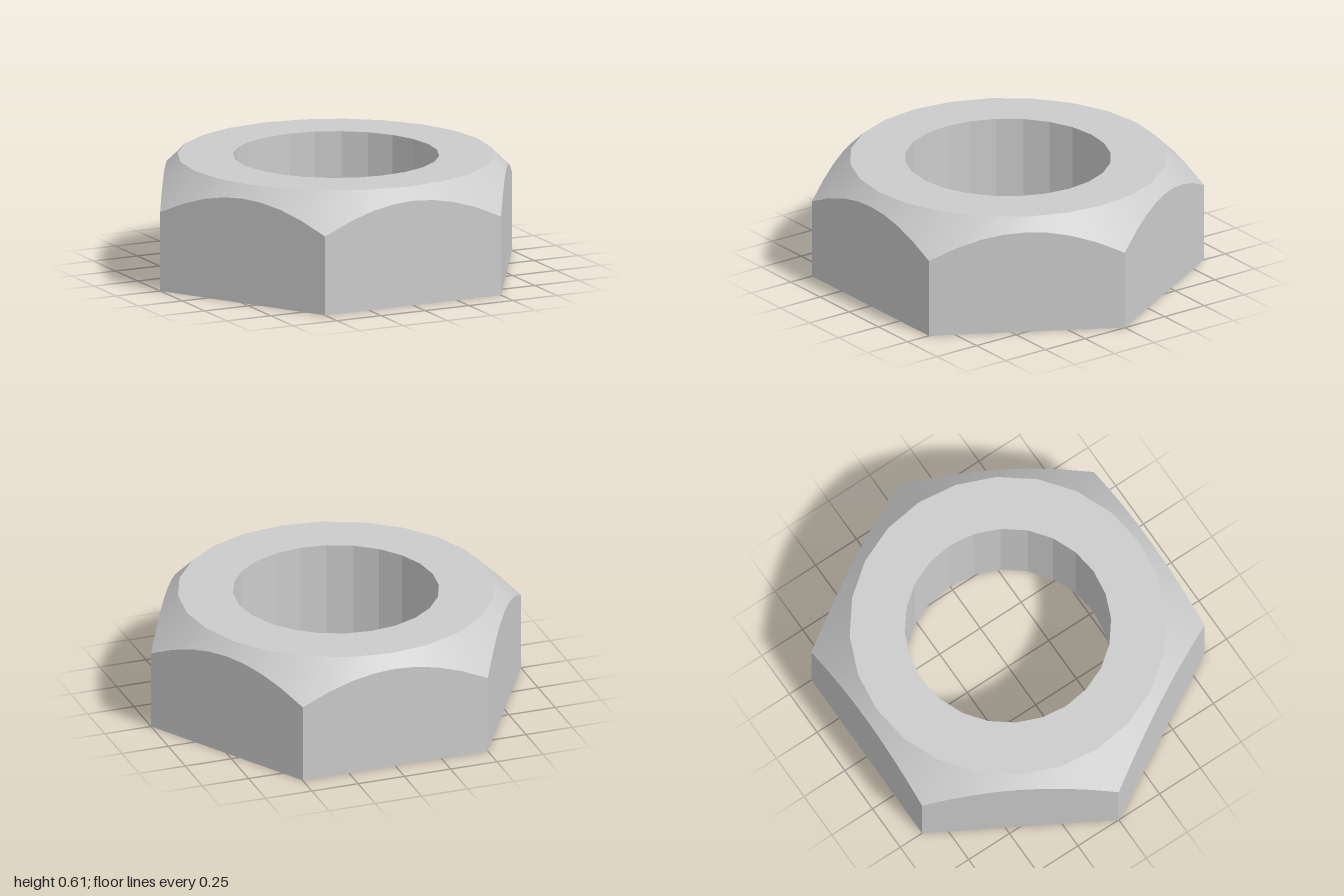
import * as THREE from 'three';

const STEPS = 48; // samples around every ring
const TOP = 0.605, TOP_RADIUS = 0.805, HOLE_RADIUS = 0.524;

// Radius of a regular polygon (corner on +x) at a given angle
function polygonRadius(sides, radius, angle) {
  const half = Math.PI / sides;
  const offset = (angle % (2 * half)) - half;
  return radius * Math.cos(half) / Math.cos(offset);
}

// Closed ring of points; height is a number or a function of radius
function ring(sides, radius, height) {
  return Array.from({ length: STEPS }, (_, i) => {
    const a = i / STEPS * Math.PI * 2;
    const r = polygonRadius(sides, radius, a);
    const y = typeof height === 'function' ? height(r) : height;
    return new THREE.Vector3(r * Math.cos(a), y, -r * Math.sin(a));
  });
}

// Band of quads between two rings, facing outward when b is above a
function band(name, a, b, flatShading) {
  const index = [];
  for (let i = 0; i < STEPS; i++) {
    const j = (i + 1) % STEPS;
    index.push(i, j, STEPS + j, i, STEPS + j, STEPS + i);
  }
  const geometry = new THREE.BufferGeometry().setFromPoints([...a, ...b]);
  geometry.setIndex(index);
  const result = flatShading ? geometry.toNonIndexed() : geometry;
  result.computeVertexNormals();
  const mesh = new THREE.Mesh(result, new THREE.MeshStandardMaterial({ color: 0xcccccc, flatShading }));
  mesh.name = name;
  return mesh;
}

export function createModel() {
  const group = new THREE.Group();
  group.name = 'hexNut';

  // 45 degree cone that cuts curved arcs into the hexagon's sides
  const cone = r => TOP - (r - TOP_RADIUS);

  const hexBottom = ring(6, 1, 0);
  const hexTop = ring(6, 1, cone);
  const rim = ring(24, TOP_RADIUS, TOP);
  const holeTop = ring(24, HOLE_RADIUS, TOP);
  const holeBottom = ring(24, HOLE_RADIUS, 0);

  group.add(
    band('hexSides', hexBottom, hexTop, true),
    band('chamfer', hexTop, rim, false),
    band('topFace', rim, holeTop, true),
    band('holeWall', holeTop, holeBottom, true),
    band('bottomFace', holeBottom, hexBottom, true),
  );
  return group;
}
